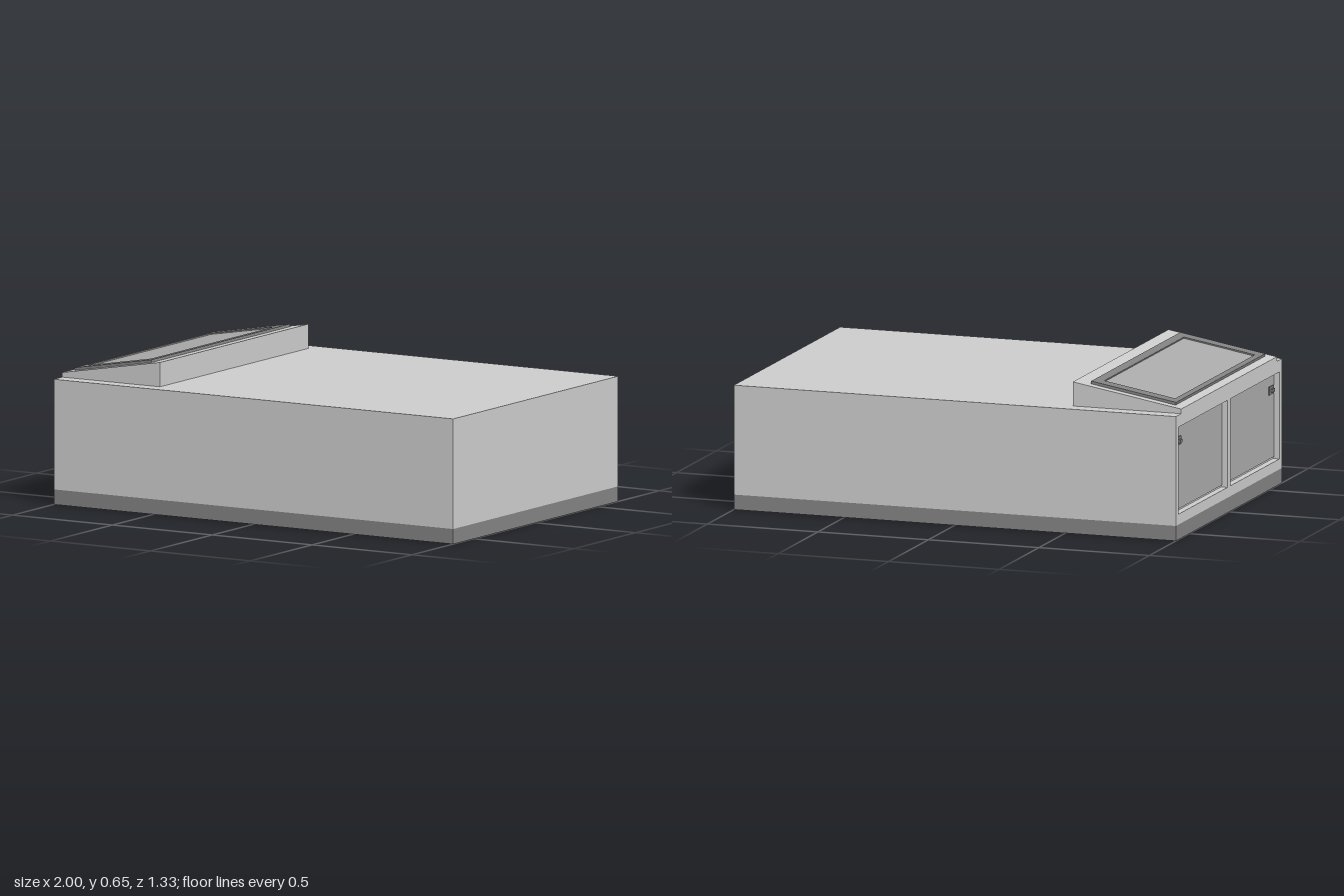
import * as THREE from 'three';

const paint = (color) => new THREE.MeshStandardMaterial({ color });
const light = paint(0xcccccc);
const mid = paint(0xaaaaaa);
const dark = paint(0x828282);

// Axis-aligned box from its minimum and maximum corners
function box(name, [x0, y0, z0], [x1, y1, z1], material) {
  const mesh = new THREE.Mesh(new THREE.BoxGeometry(x1 - x0, y1 - y0, z1 - z0), material);
  mesh.position.set((x0 + x1) / 2, (y0 + y1) / 2, (z0 + z1) / 2);
  mesh.name = name;
  return mesh;
}

function trace(path, x0, y0, x1, y1) {
  path.moveTo(x0, y0);
  path.lineTo(x1, y0);
  path.lineTo(x1, y1);
  path.lineTo(x0, y1);
  path.closePath();
  return path;
}

// Flat plate with rectangular openings, thickness along +z
function plate(outer, holes, depth) {
  const shape = trace(new THREE.Shape(), ...outer);
  holes.forEach((h) => shape.holes.push(trace(new THREE.Path(), ...h)));
  return new THREE.ExtrudeGeometry(shape, { depth, bevelEnabled: false });
}

export function createModel() {
  const model = new THREE.Group();
  const W = 0.667, baseTop = 0.065, top = 0.54, recess = 0.03;

  // Plinth and main body
  model.add(box('base', [-1, 0, -W], [1, baseTop, W], dark));
  model.add(box('body', [-1 + recess, baseTop, -W], [1, top, W], light));

  // End face with two door openings
  const openings = [[-0.633, 0.11, -0.02, 0.488], [0.02, 0.11, 0.633, 0.488]];
  const face = new THREE.Mesh(
    plate([-W, baseTop, W, top], openings, recess).rotateY(-Math.PI / 2), light);
  face.position.x = -1 + recess;
  face.name = 'doorSurround';
  model.add(face);

  // Recessed doors with small latches near the outer edges
  for (const s of [-1, 1]) {
    const x = -1 + recess;
    const span = (a, b) => [Math.min(s * a, s * b), Math.max(s * a, s * b)];
    const [d0, d1] = span(0.03, 0.623);
    model.add(box('door', [x - 0.008, 0.12, d0], [x + 0.01, 0.478, d1], mid));
    const [l0, l1] = span(0.555, 0.61);
    model.add(box('latch', [x - 0.014, 0.4, l0], [x, 0.435, l1], dark));
    const [h0, h1] = span(0.57, 0.595);
    model.add(box('latchHandle', [x - 0.024, 0.41, h0], [x, 0.425, h1], dark));
  }

  // Sloping wedge on the roof
  const low = 0.56, high = 0.645, x0 = -1, x1 = -0.51, wedgeHalf = 0.6;
  const profile = new THREE.Shape([
    new THREE.Vector2(x0, top), new THREE.Vector2(x1, top),
    new THREE.Vector2(x1, high), new THREE.Vector2(x0, low),
  ]);
  const wedge = new THREE.Mesh(
    new THREE.ExtrudeGeometry(profile, { depth: 2 * wedgeHalf, bevelEnabled: false }), light);
  wedge.position.z = -wedgeHalf;
  wedge.name = 'wedge';
  model.add(wedge);

  // Framed window lying on the slope
  const slope = (high - low) / (x1 - x0);
  const cx = -0.768;
  const skylight = new THREE.Group();
  skylight.name = 'skylight';
  skylight.position.set(cx, low + (cx - x0) * slope, 0);
  skylight.rotation.z = Math.atan(slope);
  const frame = new THREE.Mesh(
    plate([-0.195, -0.56, 0.195, 0.56], [[-0.169, -0.5, 0.156, 0.5]], 0.012)
      .rotateX(-Math.PI / 2), dark);
  frame.name = 'skylightFrame';
  skylight.add(frame);
  skylight.add(box('skylightPane', [-0.169, -0.005, -0.5], [0.156, 0.006, 0.5], mid));
  model.add(skylight);

  return model;
}
